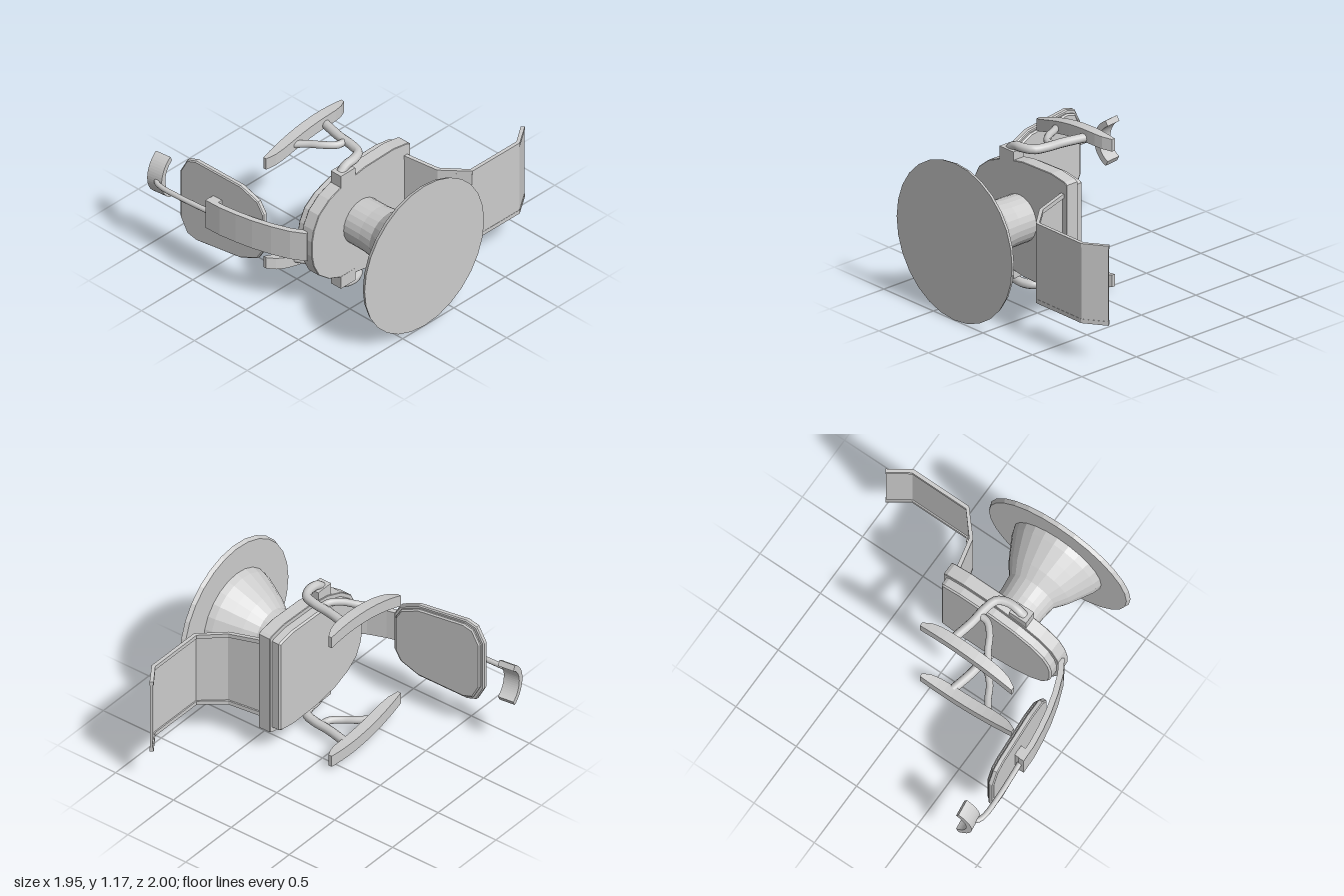
import * as THREE from 'three';

const flat = new THREE.MeshStandardMaterial({ color: 0xcccccc, flatShading: true });
const smooth = new THREE.MeshStandardMaterial({ color: 0xcccccc });

function add(parent, name, geometry, material = flat) {
  const mesh = new THREE.Mesh(geometry, material);
  mesh.name = name;
  parent.add(mesh);
  return mesh;
}

// Closed outline mirrored from half of its points: [along, half width]
function mirroredShape(half) {
  const pts = half.map(([a, w]) => new THREE.Vector2(a, w));
  const back = half.map(([a, w]) => new THREE.Vector2(a, -w)).reverse();
  return new THREE.Shape([...pts, ...back]);
}

// Slab with chamfered rims, its outer size matching the shape
function slab(shape, depth, bevel) {
  const g = new THREE.ExtrudeGeometry(shape, {
    depth: depth - 2 * bevel, bevelEnabled: true, bevelSegments: 1,
    bevelSize: bevel, bevelThickness: bevel, bevelOffset: -bevel,
  });
  return g.translate(0, 0, bevel);
}

// Bent strip of even thickness following a side profile
function strip(path, thickness, z0, z1) {
  const pts = path.map(([x, y]) => new THREE.Vector2(x, y));
  const side = (s) => pts.map((p, i) => {
    const a = pts[Math.max(i - 1, 0)], b = pts[Math.min(i + 1, pts.length - 1)];
    const d = b.clone().sub(a).normalize();
    return new THREE.Vector2(p.x - d.y * s, p.y + d.x * s);
  });
  const shape = new THREE.Shape([...side(thickness / 2), ...side(-thickness / 2).reverse()]);
  return new THREE.ExtrudeGeometry(shape, { depth: z1 - z0, bevelEnabled: false }).translate(0, 0, z0);
}

function rod(points, radius) {
  const curve = new THREE.CatmullRomCurve3(points.map((p) => new THREE.Vector3(...p)));
  return new THREE.TubeGeometry(curve, 24, radius, 10, false);
}

function deform(g, rule) {
  const p = g.attributes.position, v = new THREE.Vector3();
  for (let i = 0; i < p.count; i++) {
    rule(v.fromBufferAttribute(p, i));
    p.setXYZ(i, v.x, v.y, v.z);
  }
  g.computeVertexNormals();
  return g;
}

function makeArm() {
  const arm = new THREE.Group();
  add(arm, 'armMount', new THREE.BoxGeometry(0.14, 0.095, 0.1).translate(-0.418, -0.357, 0.42));
  add(arm, 'armTube', rod([[-0.44, -0.355, 0.45], [-0.39, -0.355, 0.49], [-0.31, -0.355, 0.5],
    [-0.235, -0.32, 0.5], [-0.205, -0.23, 0.5], [-0.19, -0.1, 0.5], [-0.15, 0.08, 0.5]], 0.033), smooth);
  add(arm, 'armBrace', rod([[-0.2, -0.17, 0.5], [-0.27, -0.16, 0.5], [-0.34, -0.09, 0.5],
    [-0.39, 0, 0.49], [-0.455, 0.09, 0.475]], 0.026), smooth);
  // Pad bowed outwards, its underside rising at both ends
  const pad = new THREE.BoxGeometry(0.76, 0.08, 0.09, 12, 1, 1);
  add(arm, 'armPad', deform(pad, (v) => {
    const t = v.x / 0.38;
    v.y += 0.1 + (v.y < 0 ? 0.045 * t ** 6 + 0.008 * t * t : 0);
    v.z += 0.51 + 0.045 * t - 0.052 * t * t;
    v.x -= 0.303;
  }));
  return arm;
}

export function createModel() {
  const model = new THREE.Group();
  model.name = 'reclinedBarberChair';

  // The chair is built upright facing +x, then laid on its side
  const chair = new THREE.Group();
  chair.name = 'chair';
  chair.rotation.x = -Math.PI / 2;
  chair.position.y = 0.585;
  model.add(chair);

  // Base and flared pedestal
  add(chair, 'baseDisc', new THREE.CylinderGeometry(0.57, 0.583, 0.03, 28).translate(-0.288, -0.985, 0));
  const profile = [[0.362, -0.975], [0.345, -0.92], [0.3, -0.835], [0.25, -0.745],
    [0.187, -0.66], [0.174, -0.55], [0.172, -0.39]].map(([r, y]) => new THREE.Vector2(r, y));
  add(chair, 'pedestal', new THREE.LatheGeometry(profile, 24).translate(-0.288, 0, 0));

  // Seat with rounded rear
  const seatHalf = [[0.19, 0.395], [0.165, 0.41], [0.03, 0.432], [-0.25, 0.425], [-0.45, 0.39],
    [-0.6, 0.33], [-0.7, 0.25], [-0.75, 0.15], [-0.768, 0.06]];
  add(chair, 'seatFrame', slab(mirroredShape(seatHalf), 0.1, 0.004).rotateX(-Math.PI / 2).translate(0, -0.403, 0));
  const cushionHalf = seatHalf.map(([x, w]) => [-0.288 + (x + 0.288) * 0.95, w * 0.92]);
  add(chair, 'seatCushion', slab(mirroredShape(cushionHalf), 0.115, 0.012).rotateX(-Math.PI / 2).translate(0, -0.35, 0));

  // Armrests
  for (const s of [1, -1]) {
    const arm = makeArm();
    arm.name = s > 0 ? 'upperArmrest' : 'lowerArmrest';
    arm.scale.z = s;
    chair.add(arm);
  }

  // Curved back support and its bracket
  add(chair, 'backSupport', strip([[-0.755, -0.35], [-0.815, -0.25], [-0.865, -0.12], [-0.905, 0.02],
    [-0.93, 0.15], [-0.948, 0.28], [-0.952, 0.41]], 0.04, -0.115, 0.115));
  add(chair, 'backBracket', new THREE.BoxGeometry(0.075, 0.08, 0.23).translate(-0.932, 0.367, 0));

  // Backrest shell and cushion, leaning backwards
  const backHalf = [[-0.03, 0.15], [0.02, 0.235], [0.17, 0.3], [0.56, 0.33], [0.64, 0.305], [0.7, 0.19]];
  const backrest = new THREE.Group();
  backrest.name = 'backrest';
  backrest.position.set(-0.862, 0, 0);
  backrest.rotation.z = 0.085;
  chair.add(backrest);
  const upright = (g) => g.rotateZ(Math.PI / 2).rotateY(Math.PI / 2);
  add(backrest, 'backShell', upright(slab(mirroredShape(backHalf), 0.042, 0.008)));
  const padHalf = backHalf.map(([h, w]) => [0.335 + (h - 0.335) * 0.94, w * 0.93]);
  add(backrest, 'backCushion', upright(slab(mirroredShape(padHalf), 0.05, 0.01)).translate(0.012, 0, 0));

  // Headrest: concave pad on a bent rod
  add(chair, 'headrestRod', rod([[-0.93, 0.36], [-0.945, 0.52], [-0.957, 0.7], [-0.957, 0.84],
    [-0.94, 0.9], [-0.9, 0.93]].map(([x, y]) => [x, y, 0]), 0.019), smooth);
  const arc = new THREE.Shape();
  const spread = 1.08;
  arc.absarc(0, 0, 0.19, Math.PI - spread, Math.PI + spread, false);
  arc.absarc(0, 0, 0.148, Math.PI + spread, Math.PI - spread, true);
  const head = add(chair, 'headrest', new THREE.ExtrudeGeometry(arc, { depth: 0.122, bevelEnabled: false, curveSegments: 10 })
    .translate(0.134, 0, -0.061).rotateX(-Math.PI / 2));
  head.position.set(-0.881, 0.932, 0);
  head.rotation.z = 0.13;

  // Leg and foot rest: panel between raised rails that flare towards the seat
  const legPath = [[0.14, -0.38], [0.205, -0.65], [0.355, -0.82], [0.81, -0.822], [0.963, -0.718]];
  const flare = (v) => { v.z *= 1 + 0.34 * Math.max(0, v.y + 0.68); };
  const lowered = legPath.map(([x, y], i) => [x - (i < 3 ? 0.004 : 0), y - 0.004]);
  add(chair, 'footPanel', deform(strip(lowered, 0.016, -0.27, 0.27), flare));
  for (const s of [1, -1]) {
    const z = s * 0.28;
    add(chair, 'footRail', deform(strip(legPath, 0.028, z - 0.015, z + 0.015), flare));
  }

  return model;
}
